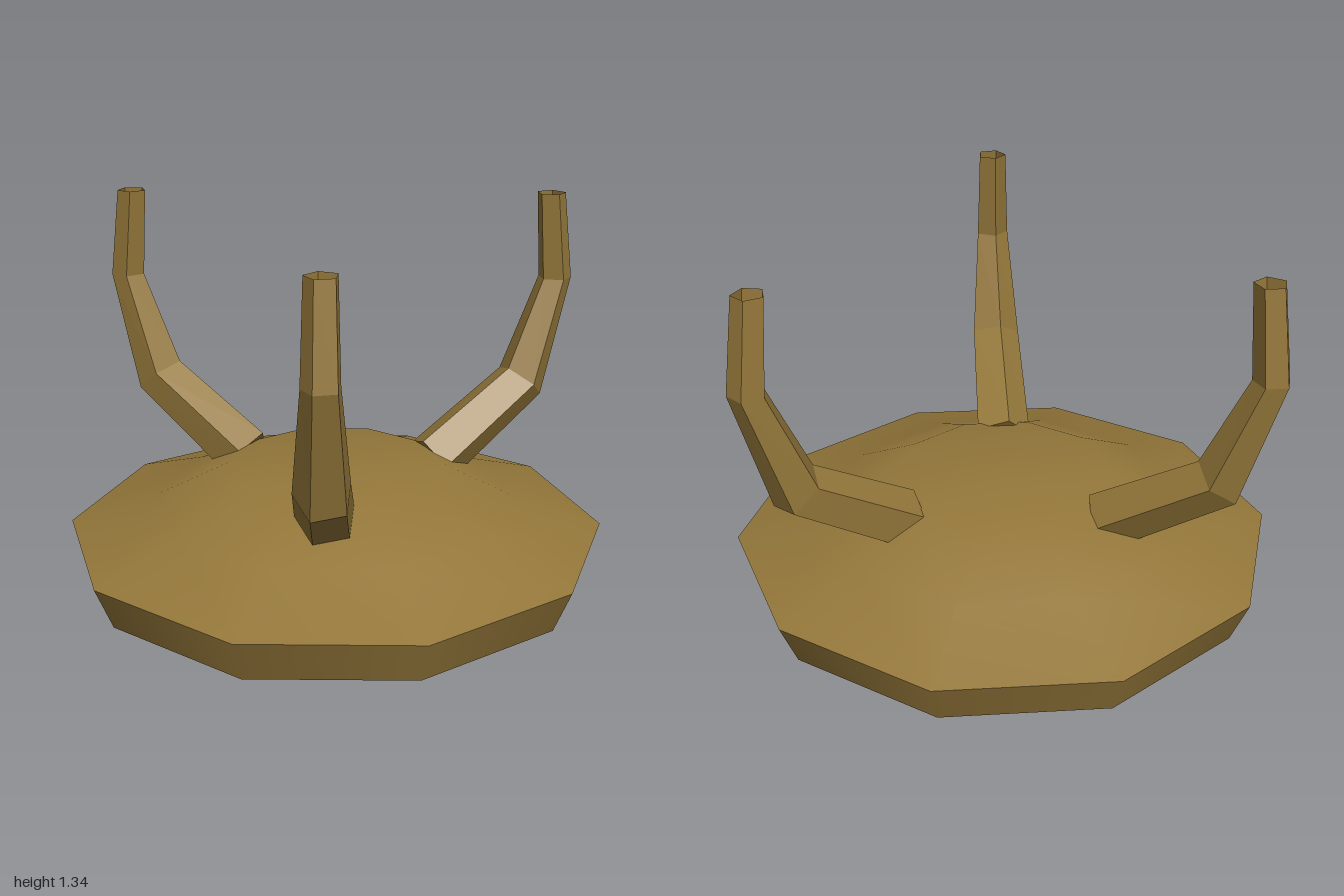
import * as THREE from 'three';

export function createModel() {
  const model = new THREE.Group();
  const bronze = new THREE.MeshStandardMaterial({ color: 0x94773a });
  bronze.name = 'bronze';
  const bronzeFaceted = bronze.clone();
  bronzeFaceted.name = 'bronzeFaceted';
  bronzeFaceted.flatShading = true;
  bronzeFaceted.side = THREE.DoubleSide;

  const add = (parent, name, geometry, material) => {
    const mesh = new THREE.Mesh(geometry, material);
    mesh.name = name;
    parent.add(mesh);
    return mesh;
  };

  // Ten-sided base: smooth dome, flared rim and flat underside
  const base = new THREE.Group();
  base.name = 'base';
  base.position.z = -0.03;
  model.add(base);
  const lathe = (points) => new THREE.LatheGeometry(
    points.map(([r, y]) => new THREE.Vector2(r, y)), 10, Math.PI / 2);
  add(base, 'baseDome', lathe([[1, 0.16], [0.67, 0.27], [0.4, 0.4], [0, 0.4]]), bronze);
  add(base, 'baseRim', lathe([[0.935, 0], [1, 0.16]]), bronze);
  add(base, 'baseUnderside', new THREE.CircleGeometry(0.935, 10).rotateX(Math.PI / 2), bronze);

  // Bent five-sided tapering prong with an open tip.
  // Each ring: centre z, centre y, radius, inward direction (z, y)
  const rings = [
    [0.415, 0.335, 0.112, -0.51, 0.86],
    [0.825, 0.6, 0.1, -0.77, 0.64],
    [0.97, 1.0, 0.066, -1, 0],
    [0.935, 1.335, 0.056, -1, 0],
  ];
  const sides = 5;
  const positions = [];
  const indices = [];
  rings.forEach(([z, y, r, uz, uy], i) => {
    for (let j = 0; j < sides; j++) {
      const a = (j / sides) * Math.PI * 2 - 0.22;
      const c = r * Math.cos(a);
      positions.push(-0.025 + r * Math.sin(a), y + c * uy, z + c * uz);
      if (i < rings.length - 1) {
        const p = i * sides + j, q = i * sides + (j + 1) % sides;
        indices.push(p, p + sides, q + sides, p, q + sides, q);
      }
    }
  });
  // Buried root cap
  for (let j = 1; j < sides - 1; j++) indices.push(0, j, j + 1);
  const prongGeometry = new THREE.BufferGeometry();
  prongGeometry.setAttribute('position', new THREE.Float32BufferAttribute(positions, 3));
  prongGeometry.setIndex(indices);
  prongGeometry.computeVertexNormals();

  // Three prongs spaced evenly around the base
  ['frontProng', 'leftProng', 'rightProng'].forEach((name, i) => {
    const prong = add(model, name, prongGeometry, bronzeFaceted);
    prong.position.z = -0.05;
    prong.rotation.y = (i * Math.PI * 2) / 3;
  });

  return model;
}
